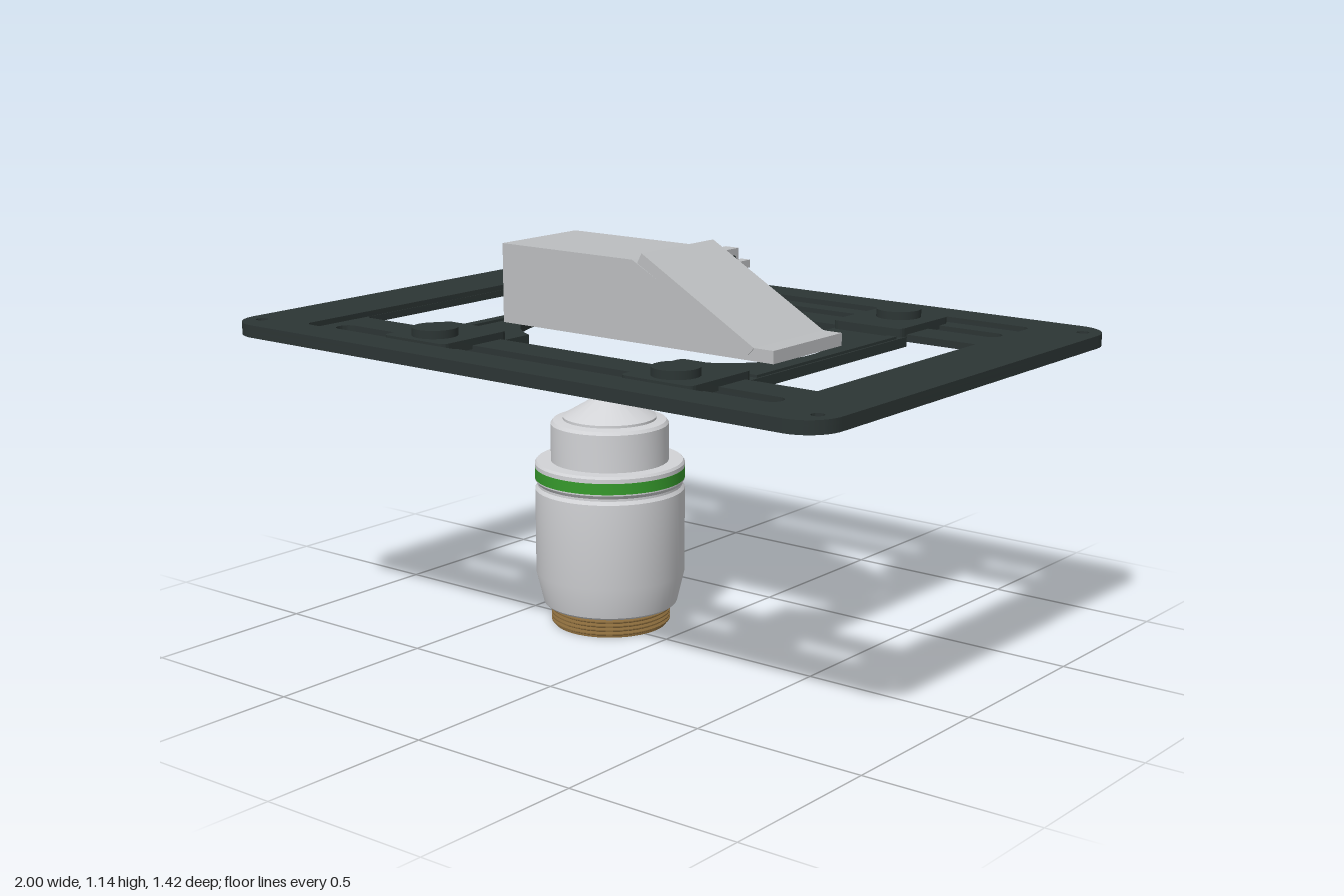
import * as THREE from 'three';
import { toCreasedNormals } from 'three/addons/utils/BufferGeometryUtils.js';

const mat = (name, color) => {
  const m = new THREE.MeshStandardMaterial({ color });
  m.name = name;
  return m;
};

export function createModel() {
  const dark = mat('dark anodised', 0x2c3534);
  const grey = mat('housing grey', 0xbcbec0);
  const silver = mat('lens silver', 0xd2d3d6);
  const green = mat('green band', 0x369a2c);
  const brass = mat('brass', 0x86683a);
  const model = new THREE.Group();
  model.name = 'lensStage';

  const add = (parent, name, geo, material, x = 0, y = 0, z = 0) => {
    const m = new THREE.Mesh(geo, material);
    m.name = name;
    m.position.set(x, y, z);
    parent.add(m);
    return m;
  };
  const box = (parent, name, material, x0, x1, y0, y1, z0, z1) =>
    add(parent, name, new THREE.BoxGeometry(x1 - x0, y1 - y0, z1 - z0), material,
      (x0 + x1) / 2, (y0 + y1) / 2, (z0 + z1) / 2);

  // Rounded rectangle, as a shape or as a hole
  const roundRect = (Type, hw, hh, r, cx = 0, cy = 0) => {
    const s = new Type();
    s.absarc(cx + hw - r, cy + hh - r, r, 0, Math.PI / 2);
    s.absarc(cx - hw + r, cy + hh - r, r, Math.PI / 2, Math.PI);
    s.absarc(cx - hw + r, cy - hh + r, r, Math.PI, Math.PI * 1.5);
    s.absarc(cx + hw - r, cy - hh + r, r, Math.PI * 1.5, Math.PI * 2);
    s.closePath();
    return s;
  };
  // Flat slab lying in the ground plane, from y0 to y1
  const slab = (shape, y0, y1) =>
    toCreasedNormals(new THREE.ExtrudeGeometry(shape, { depth: y1 - y0, bevelEnabled: false, curveSegments: 16 })
      .rotateX(-Math.PI / 2).translate(0, y0, 0), 0.6);
  // Side profile in x and y, extruded along z
  const profile = (pts, z0, z1) =>
    new THREE.ExtrudeGeometry(new THREE.Shape(pts.map(p => new THREE.Vector2(...p))),
      { depth: z1 - z0, bevelEnabled: false }).translate(0, 0, z0);

  // Frame: slotted lower layer and a rim that leaves a shallow recess
  const frame = new THREE.Group();
  frame.name = 'frame';
  model.add(frame);
  const outline = () => {
    const s = roundRect(THREE.Shape, 1, 0.71, 0.1);
    for (const x of [-0.945, 0.945]) for (const z of [-0.63, 0.63])
      s.holes.push(roundRect(THREE.Path, 0.017, 0.017, 0.0169, x, z));
    return s;
  };
  const lower = outline();
  lower.holes.push(roundRect(THREE.Path, 0.8, 0.37, 0.02));
  for (const z of [-0.51, 0.51]) lower.holes.push(roundRect(THREE.Path, 0.76, 0.03, 0.0299, 0, z));
  add(frame, 'slottedPlate', slab(lower, 0.875, 0.895), dark);
  const rim = outline();
  rim.holes.push(roundRect(THREE.Path, 0.802, 0.6, 0.025));
  add(frame, 'rim', slab(rim, 0.895, 0.91), dark);

  // Two sliding arms with curved inner edges, clamp tabs and knobs
  const buildArm = name => {
    const g = new THREE.Group();
    g.name = name;
    const a = Math.acos(0.115 / 0.28);
    const s = new THREE.Shape();
    s.moveTo(0.32, -0.365);
    s.lineTo(0.55, -0.365);
    s.lineTo(0.55, 0.365);
    s.lineTo(0.32, 0.365);
    s.absarc(0.205, 0, 0.28, a, -a, true);
    s.closePath();
    add(g, 'armPlate', slab(s, 0.863, 0.89), dark);
    box(g, 'armRail', dark, 0.515, 0.545, 0.89, 0.897, -0.32, 0.32);
    for (const side of [-1, 1]) {
      add(g, 'clampTab', slab(roundRect(THREE.Shape, 0.113, 0.125, 0.02, 0.433, side * 0.465), 0.885, 0.914), dark);
      add(g, 'knob', new THREE.CylinderGeometry(0.063, 0.063, 0.025, 40), dark, 0.433, 0.924, side * 0.505);
    }
    model.add(g);
    return g;
  };
  buildArm('leftArm');
  const rightArm = buildArm('rightArm');
  rightArm.rotation.y = Math.PI;
  rightArm.position.x = 0.04;

  // Housing with a sloped end and its cover
  const housing = new THREE.Group();
  housing.name = 'housing';
  model.add(housing);
  add(housing, 'housingBody', profile([[-0.46, 0.89], [0.48, 0.89], [0.48, 0.925], [0.37, 0.925],
    [0.01, 1.115], [-0.46, 1.115]], -0.152, 0.16), grey);
  add(housing, 'slopedCover', profile([[0.03, 1.108], [0.4, 0.905], [0.42, 0.925], [0.045, 1.136]],
    -0.152, 0.163), grey);

  // Slider guide on the back, with a stop block and pin
  const guide = new THREE.Shape();
  guide.moveTo(0.05, 1.01);
  guide.lineTo(0.05, 1.075);
  guide.lineTo(-0.4, 1.075);
  guide.absarc(-0.4, 1.0425, 0.0325, Math.PI / 2, Math.PI * 1.5);
  guide.closePath();
  add(housing, 'sliderGuide', toCreasedNormals(new THREE.ExtrudeGeometry(guide,
    { depth: 0.06, bevelEnabled: false }), 0.6), grey, 0, 0, -0.21);
  box(housing, 'stopBlock', grey, 0.045, 0.09, 1.01, 1.11, -0.21, -0.157);
  box(housing, 'blockMount', grey, 0.02, 0.05, 1.055, 1.1, -0.165, -0.15);
  box(housing, 'stopPin', grey, 0.06, 0.09, 1.048, 1.07, -0.264, -0.21);
  add(housing, 'stopScrew', new THREE.CylinderGeometry(0.012, 0.012, 0.006, 20).rotateZ(Math.PI / 2),
    dark, 0.09, 1.08, -0.184);

  // Objective lens, turned from profiles
  const lens = new THREE.Group();
  lens.name = 'objectiveLens';
  lens.position.set(-0.238, 0, -0.038);
  model.add(lens);
  const turn = (name, pts, material) => add(lens, name, toCreasedNormals(
    new THREE.LatheGeometry(pts.map(p => new THREE.Vector2(...p)), 64), 0.3), material);

  const thread = [[0, 0], [0.165, 0]];
  for (let i = 0; i < 4; i++) {
    const y = 0.006 + i * 0.012;
    thread.push([0.165, y], [0.173, y + 0.004], [0.173, y + 0.007], [0.165, y + 0.011]);
  }
  thread.push([0.165, 0.062]);
  turn('mountThread', thread, brass);
  turn('barrel', [[0.16, 0.06], [0.188, 0.06], [0.194, 0.066], [0.216, 0.158], [0.216, 0.405],
    [0.209, 0.415], [0.209, 0.422], [0.216, 0.432], [0.216, 0.436]], silver);
  turn('colourBand', [[0.216, 0.436], [0.2165, 0.436], [0.2165, 0.468], [0.216, 0.468]], green);
  turn('nose', [[0.216, 0.468], [0.216, 0.48], [0.211, 0.487], [0.17, 0.487], [0.17, 0.595],
    [0.163, 0.604], [0.135, 0.608], [0.135, 0.615], [0.04, 0.671], [0.03, 0.675], [0, 0.675]], silver);

  return model;
}
